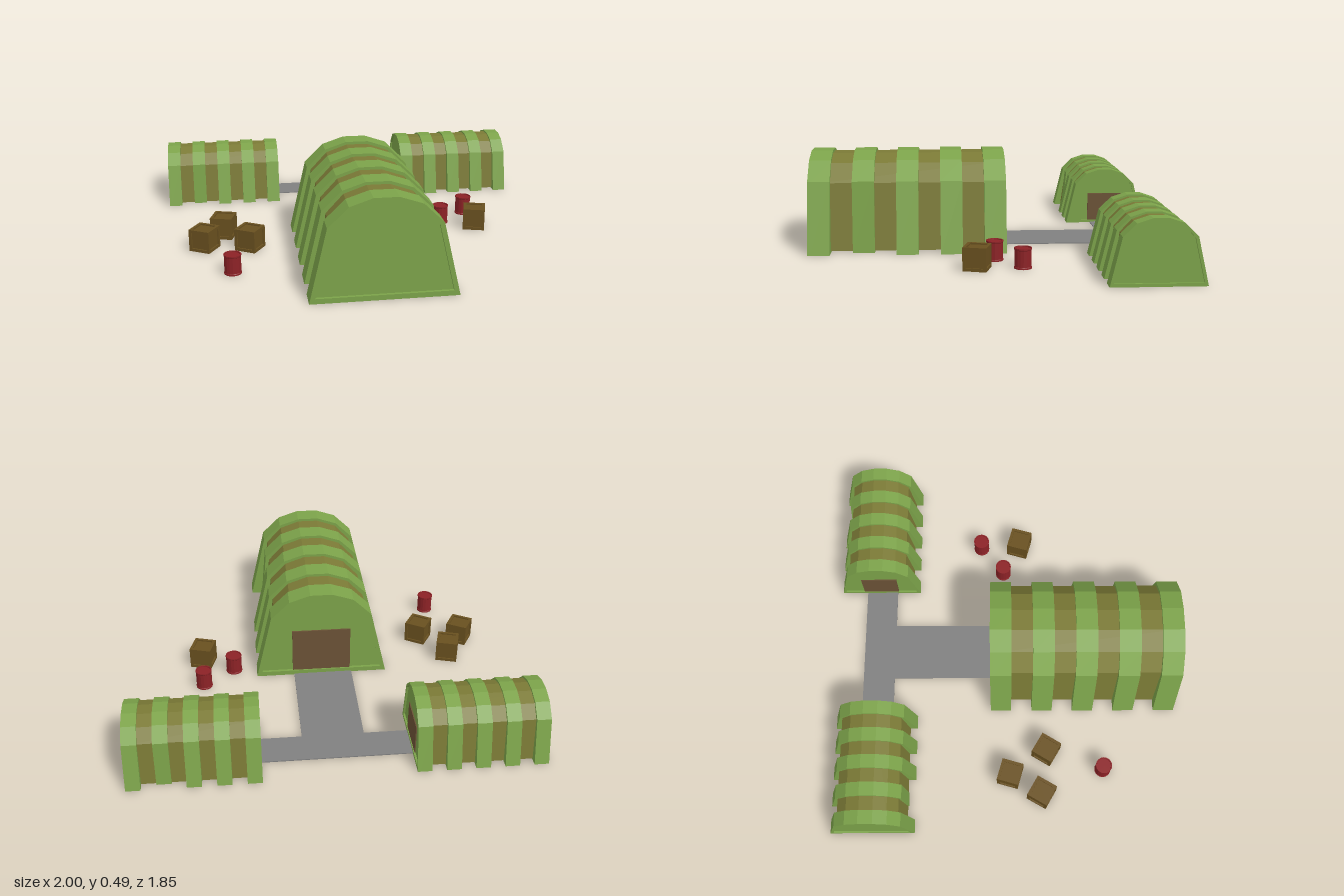
import * as THREE from 'three';

const mat = (color) => new THREE.MeshStandardMaterial({ color, flatShading: true });
const green = mat(0x7ca34a);
const olive = mat(0x7b7a36);
const doorBrown = mat(0x6b5236);
const crateBrown = mat(0x69501f);
const barrelRed = mat(0x8c2226);
const roadGrey = mat(0x808080);

// Half profiles of the hut, from foot to crown: [half width, height]
const RIB = [[0.349, 0], [0.265, 0.36], [0.168, 0.455], [0.058, 0.492]];
const BODY = [[0.29, 0.01], [0.245, 0.35], [0.162, 0.44], [0.055, 0.478]];
const PANEL = [[0.32, 0.025], [0.244, 0.35], [0.16, 0.437], [0.055, 0.474]];

function mesh(name, geometry, material, x = 0, y = 0, z = 0) {
  const m = new THREE.Mesh(geometry, material);
  m.name = name;
  m.position.set(x, y, z);
  return m;
}

// Mirrors a half profile into a closed outline
function outline(half, rightFoot = half[0][0]) {
  const right = half.map(([x, y], i) => new THREE.Vector2(i ? x : rightFoot, y));
  const left = half.map(([x, y]) => new THREE.Vector2(-x, y)).reverse();
  return [...right, ...left];
}

function slab(name, points, material, z0, z1, hole) {
  const shape = new THREE.Shape(points);
  if (hole) shape.holes.push(new THREE.Path(hole));
  const geometry = new THREE.ExtrudeGeometry(shape, { depth: z1 - z0, bevelEnabled: false });
  return mesh(name, geometry, material, 0, 0, z0);
}

// Ribbed hut, one unit long, with its door at the -z end
function hut(name) {
  const g = new THREE.Group();
  g.name = name;
  const step = 1 / 9, recess = 0.015;
  g.add(slab('body', outline(BODY), olive, -0.45, 0.45));
  for (let i = 0; i < 5; i++) {
    const z0 = -0.5 + 2 * i * step, z1 = z0 + step;
    const first = i === 0, last = i === 4;
    // The fourth rib has one foot tucked in
    const points = outline(RIB, i === 3 ? 0.297 : undefined);
    g.add(slab('rib', points, green, first ? z0 + recess : z0, last ? z1 - recess : z1));
    // End frames surround the recessed end walls
    if (first) g.add(slab('endFrame', points, green, z0, z0 + recess, outline(PANEL)));
    if (last) g.add(slab('endFrame', points, green, z1 - recess, z1, outline(PANEL)));
  }
  g.add(mesh('door', new THREE.BoxGeometry(0.31, 0.245, 0.012), doorBrown, 0, 0.1475, -0.487));
  return g;
}

// Crate: a recessed core inside twelve edge beams
function crate(x, z, degrees) {
  const g = new THREE.Group();
  g.name = 'crate';
  const s = 0.115, b = 0.015, o = (s - b) / 2;
  g.add(mesh('crateCore', new THREE.BoxGeometry(s - b, s - b, s - b), crateBrown));
  for (const u of [-o, o]) {
    for (const v of [-o, o]) {
      g.add(mesh('crateBeam', new THREE.BoxGeometry(b, s, b), crateBrown, u, 0, v));
      g.add(mesh('crateBeam', new THREE.BoxGeometry(s - 2 * b, b, b), crateBrown, 0, u, v));
      g.add(mesh('crateBeam', new THREE.BoxGeometry(b, b, s - 2 * b), crateBrown, u, v, 0));
    }
  }
  g.position.set(x, s / 2, z);
  g.rotation.y = -THREE.MathUtils.degToRad(degrees);
  return g;
}

// Barrel with rims and recessed lids
function barrel(x, z) {
  const profile = [
    [0, 0.006], [0.037, 0.006], [0.038, 0], [0.043, 0], [0.043, 0.007], [0.041, 0.01],
    [0.041, 0.09], [0.043, 0.093], [0.043, 0.1], [0.038, 0.1], [0.037, 0.094], [0, 0.094],
  ].map(([r, y]) => new THREE.Vector2(r, y));
  return mesh('barrel', new THREE.LatheGeometry(profile, 16), barrelRed, x, 0, z);
}

export function createModel() {
  const model = new THREE.Group();
  model.name = 'camp';

  // Huts: one large, two small ones facing each other
  const large = hut('largeHut');
  large.position.set(0.012, 0, 0.42);
  const left = hut('smallHutRight');
  left.position.set(-0.685, 0, -0.7);
  left.rotation.y = -Math.PI / 2;
  const right = hut('smallHutLeft');
  right.position.set(0.682, 0, -0.707);
  right.rotation.y = Math.PI / 2;
  for (const h of [left, right]) h.scale.set(0.634, 0.63, 0.635);
  model.add(large, left, right);

  // T-shaped road joining the doors
  const road = new THREE.Shape([
    [-0.37, 0.787], [-0.37, 0.615], [-0.15, 0.615], [-0.15, 0.08],
    [0.16, 0.08], [0.16, 0.615], [0.365, 0.615], [0.365, 0.787],
  ].map(([x, y]) => new THREE.Vector2(x, y)));
  const roadMesh = mesh('road', new THREE.ExtrudeGeometry(road, { depth: 0.005, bevelEnabled: false }), roadGrey);
  roadMesh.rotation.x = -Math.PI / 2;
  model.add(roadMesh);

  // Supplies around the yard
  for (const [x, z, a] of [[-0.7, 0.024, 16], [-0.8, 0.19, 30], [-0.57, 0.217, 31], [0.65, 0.083, 16]]) {
    model.add(crate(x, z, a));
  }
  for (const [x, z] of [[-0.665, 0.52], [0.484, -0.01], [0.644, -0.135]]) model.add(barrel(x, z));

  return model;
}
